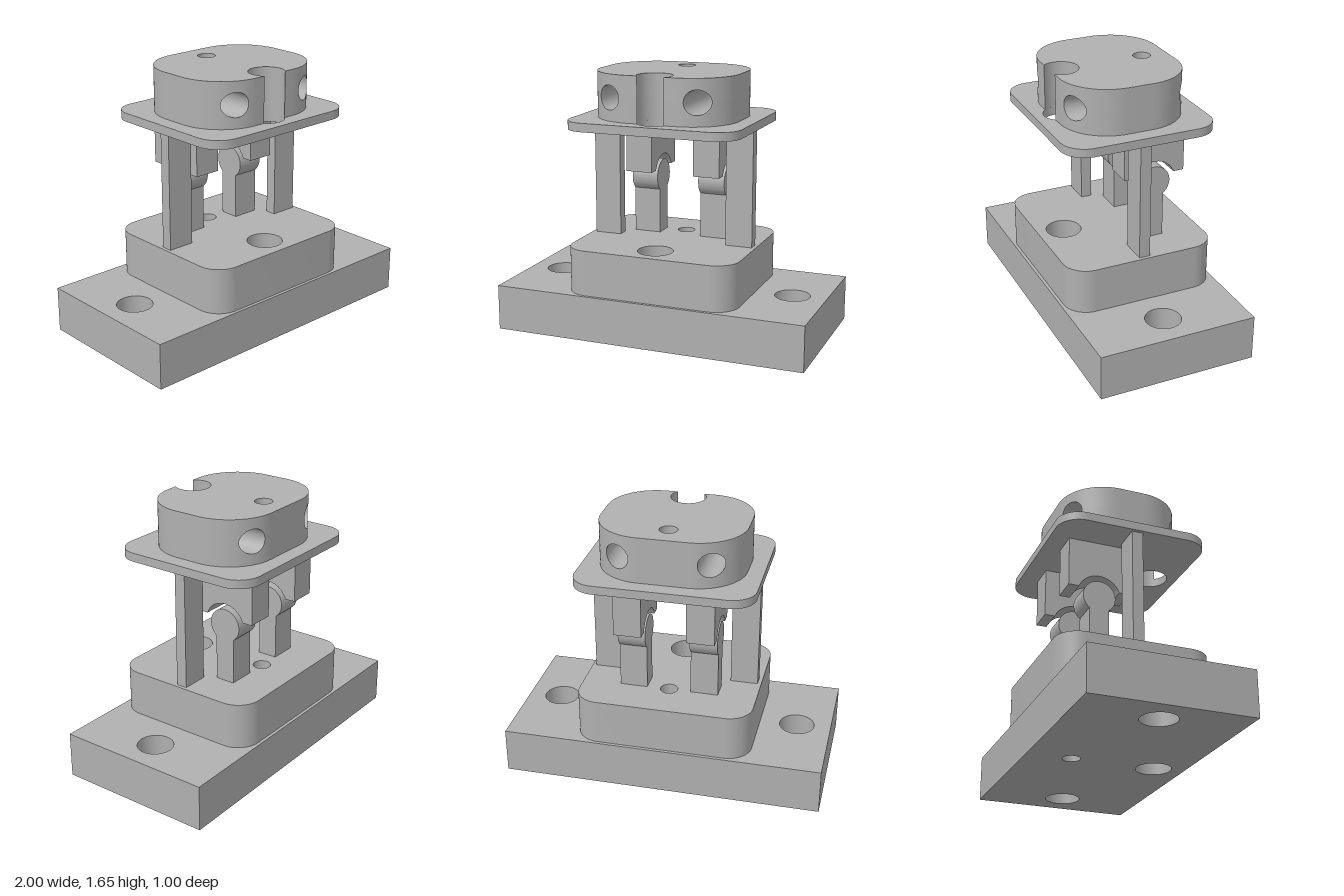
import * as THREE from 'three';
import { mergeGeometries, toCreasedNormals } from 'three/addons/utils/BufferGeometryUtils.js';

const grey = new THREE.MeshStandardMaterial({ color: 0xb0b0b0 });
grey.name = 'grey';

// Heights of the stacked layers
const Y = { base: 0.287, block: 0.573, plateLow: 1.308, plateTop: 1.362, top: 1.647 };
// Vertical bores: [x, z, radius]
const FRONT_BORE = [0, 0.31, 0.11];
const BACK_BORE = [0, -0.22, 0.055];
const SIDE_BORES = [[-0.785, 0, 0.11], [0.785, 0, 0.11]];

const v = (x, y, z) => new THREE.Vector3(x, y, z);

// Plan shapes use (x, -z), so that extruding and tipping back gives y up.
function roundedRect(w, d, r) {
  const s = new THREE.Shape();
  if (r === 0) {
    return s.moveTo(-w, -d).lineTo(w, -d).lineTo(w, d).lineTo(-w, d).closePath();
  }
  const q = Math.PI / 2;
  s.absarc(w - r, -d + r, r, -q, 0);
  s.absarc(w - r, d - r, r, 0, q);
  s.absarc(-w + r, d - r, r, q, 2 * q);
  s.absarc(-w + r, -d + r, r, 2 * q, 3 * q);
  return s.closePath();
}

function slab(name, w, d, r, y0, y1, bores) {
  const s = roundedRect(w, d, r);
  for (const [x, z, br] of bores) {
    s.holes.push(new THREE.Path().absarc(x, -z, br, 0, Math.PI * 2, true));
  }
  const g = new THREE.ExtrudeGeometry(s, { depth: y1 - y0, bevelEnabled: false, curveSegments: 20 });
  g.rotateX(-Math.PI / 2).translate(0, y0, 0);
  return mesh(name, toCreasedNormals(g, 0.6));
}

function mesh(name, geometry) {
  const m = new THREE.Mesh(geometry, grey);
  m.name = name;
  return m;
}

// Side profile in (-z, y), extruded along x
function sideExtrude(name, shape, x0, x1) {
  const g = new THREE.ExtrudeGeometry(shape, { depth: x1 - x0, bevelEnabled: false, curveSegments: 40 });
  g.rotateY(Math.PI / 2).translate(x0, 0, 0);
  return mesh(name, toCreasedNormals(g, 0.5));
}

// Smooth strip between two equally long rows of points
function strip(a, b) {
  const g = new THREE.BufferGeometry().setFromPoints([...a, ...b]);
  const n = a.length, index = [];
  for (let i = 0; i < n - 1; i++) index.push(i, i + 1, n + i, i + 1, n + i + 1, n + i);
  g.setIndex(index);
  g.computeVertexNormals();
  return g;
}

// Rounded head with a front notch, a vertical bore and two cross bores
function createHead() {
  const w = 0.45, d = 0.38, r = 0.3, y0 = Y.plateTop, y1 = Y.top;
  const bx = 0.28, by = 1.505, br = 0.075;
  const [, nz, nr] = FRONT_BORE;
  const notchAngle = Math.asin((d - nz) / nr), notchX = nr * Math.cos(notchAngle);
  const depthAt = (x) => {
    const t = Math.min(r, Math.max(0, Math.abs(x) - (w - r)));
    return d - r + Math.sqrt(r * r - t * t);
  };
  const openAt = (x) => Math.sqrt(Math.max(0, br * br - (Math.abs(x) - bx) ** 2));
  const parts = [];

  // Top face
  const cap = new THREE.Shape(), q = Math.PI / 2;
  cap.moveTo(notchX, -d);
  cap.absarc(w - r, -d + r, r, -q, 0);
  cap.absarc(w - r, d - r, r, 0, q);
  cap.absarc(-w + r, d - r, r, q, 2 * q);
  cap.absarc(-w + r, -d + r, r, 2 * q, 3 * q);
  cap.lineTo(-notchX, -d);
  cap.absarc(0, -nz, nr, Math.PI + notchAngle, -notchAngle, true);
  cap.holes.push(new THREE.Path().absarc(0, -BACK_BORE[1], BACK_BORE[2], 0, Math.PI * 2, true));
  parts.push(new THREE.ShapeGeometry(cap, 20).rotateX(-q).translate(0, y1, 0));

  // Front and back walls, in columns opened around the cross bores
  const columns = [-notchX, notchX];
  for (let i = 0; i <= 20; i++) {
    const x = w - r + r * Math.cos((i / 20) * q);
    columns.push(x, -x);
  }
  for (let i = 0; i <= 24; i++) {
    const x = bx + br * Math.cos((i / 24) * Math.PI);
    columns.push(x, -x);
  }
  columns.sort((a, b) => a - b);
  const wall = (from, to, side) => {
    const xs = columns.filter((x) => x >= from && x <= to);
    if (side < 0) xs.reverse();
    const row = (height) => xs.map((x) => v(x, height(x), side * depthAt(x)));
    parts.push(strip(row(() => y0), row((x) => by - openAt(x))));
    parts.push(strip(row((x) => by + openAt(x)), row(() => y1)));
  };
  wall(-w, -notchX, 1);
  wall(notchX, w, 1);
  wall(-w, w, -1);

  for (const s of [-1, 1]) {
    // Flat end walls
    const e = s * (d - r);
    parts.push(strip([v(s * w, y0, e), v(s * w, y0, -e)], [v(s * w, y1, e), v(s * w, y1, -e)]));
    // Cross bores
    const ring = (side) => Array.from({ length: 49 }, (_, i) => {
      const a = (i / 24) * Math.PI, x = s * bx + br * Math.cos(a);
      return v(x, by + br * Math.sin(a), side * depthAt(x));
    });
    parts.push(strip(ring(1), ring(-1)));
  }

  // Notch and vertical bore walls
  const bore = ([x, z, rad], from, to) => {
    const row = (y) => Array.from({ length: 41 }, (_, i) => {
      const a = from + ((to - from) * i) / 40;
      return v(x + rad * Math.cos(a), y, z - rad * Math.sin(a));
    });
    parts.push(strip(row(y0), row(y1)));
  };
  bore(FRONT_BORE, Math.PI + notchAngle, -notchAngle);
  bore(BACK_BORE, Math.PI * 2, 0);

  parts.forEach((p) => p.deleteAttribute('uv'));
  return mesh('head', mergeGeometries(parts));
}

export function createModel() {
  const model = new THREE.Group();
  model.name = 'pivotFixture';
  const middle = [FRONT_BORE, BACK_BORE];

  model.add(slab('base', 1, 0.5, 0, 0, Y.base, [...middle, ...SIDE_BORES]));
  model.add(slab('lowerBlock', 0.55, 0.48, 0.15, Y.base, Y.block, middle));
  model.add(slab('upperPlate', 0.55, 0.48, 0.15, Y.plateLow, Y.plateTop, middle));
  model.add(createHead());

  // Post with a round knob, and the socket hanging over it
  const c = 0.164, cy = 0.94, half = 0.0625, knobR = 0.104, socketR = 0.14, socketY = 0.991;
  const neck = Math.acos(half / knobR);
  const post = new THREE.Shape();
  post.moveTo(c - half, Y.block).lineTo(c + half, Y.block);
  post.absarc(c, cy, knobR, -neck, Math.PI + neck);
  post.closePath();

  const lip = Math.asin((socketY - cy) / socketR);
  const socket = new THREE.Shape();
  socket.moveTo(0.362, Y.plateLow).lineTo(-0.035, Y.plateLow).lineTo(-0.035, socketY);
  socket.absarc(c, cy, socketR, Math.PI - lip, lip, true);
  socket.lineTo(0.362, socketY).closePath();

  for (const [side, s] of [['left', 1], ['right', -1]]) {
    const x0 = s > 0 ? 0.138 : -0.31, x1 = s > 0 ? 0.31 : -0.138;
    model.add(sideExtrude(side + 'KnobPost', post, x0, x1));
    model.add(sideExtrude(side + 'Socket', socket, x0, x1));
    // Flat support leg
    const leg = mesh(side + 'Leg', new THREE.BoxGeometry(0.172, Y.plateLow - Y.block, 0.07));
    leg.position.set(s * 0.441, (Y.plateLow + Y.block) / 2, 0);
    model.add(leg);
  }
  return model;
}
